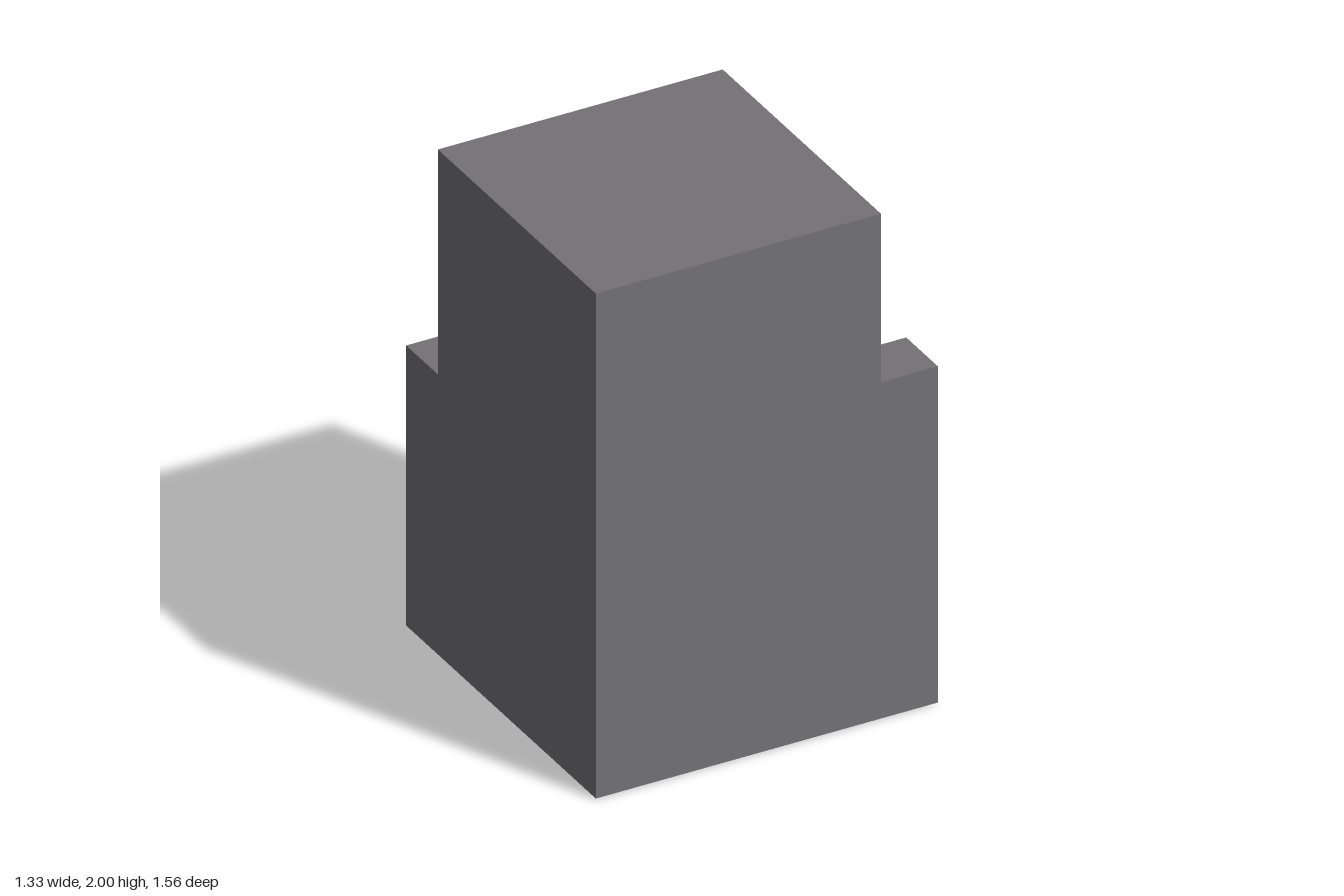
import * as THREE from 'three';

const U = 2 / 9;        // edge of one building block
const THIN = 0.004;     // thickness of doors and floor inlay

function shapeOf(points) {
  return new THREE.Shape(points.map(([a, b]) => new THREE.Vector2(a * U, b * U)));
}

function extrude(shape, depth) {
  return new THREE.ExtrudeGeometry(shape, { depth, bevelEnabled: false });
}

// Side profile in (-z, y), swept along +x from x0
function sweepX(points, x0, depth) {
  return extrude(shapeOf(points), depth).rotateY(Math.PI / 2).translate(x0 * U, 0, 0);
}

// Door outline with clipped top corners
function doorOutline(left, bottom) {
  const c = 0.05, r = left + 1, t = bottom + 2;
  return [[left, bottom], [r, bottom], [r, t - c], [r - c, t], [left + c, t], [left, t - c]];
}

export function createModel() {
  const model = new THREE.Group();
  const material = (name, color) => {
    const m = new THREE.MeshStandardMaterial({ color });
    m.name = name;
    return m;
  };
  const stone = material('stone', 0x747275);
  const wood = material('door wood', 0x6e5534);
  const planks = material('floor planks', 0x82604d);

  const add = (name, geometry, mat) => {
    const mesh = new THREE.Mesh(geometry, mat);
    mesh.name = name;
    model.add(mesh);
  };

  const base = THIN / U; // stone starts just above the floor inlay

  // Tower with the lower ledge at the back
  add('tower', sweepX([
    [-3.5, base], [2.5, base], [2.5, 5], [1.5, 5], [1.5, 9], [-3.5, 9],
  ], -3, 5 * U), stone);

  // Six steps climbing the left wall towards the front
  const steps = [[-3.5, base], [2.5, base]];
  for (let i = 0; i < 6; i++) steps.push([2.5 - i, i + 1], [1.5 - i, i + 1]);
  add('sideStairs', sweepX(steps, 2, U), stone);

  // Stoop with a raised middle at the back door
  const stoop = shapeOf([
    [-2, base], [1, base], [1, 1], [0, 1], [0, 2], [-1, 2], [-1, 1], [-2, 1],
  ]);
  add('backStoop', extrude(stoop, U).translate(0, 0, -3.5 * U), stone);

  // Doors
  add('sideDoor', sweepX(doorOutline(-2.5, 5), 2, THIN), wood);
  add('backDoor', extrude(shapeOf(doorOutline(-1, 2)), THIN)
    .translate(0, 0, -2.5 * U - THIN), wood);

  // Plank floor seen from below, with a doorway tongue and a central opening
  const floor = shapeOf([
    [-2, -1.5], [-1, -1.5], [-1, -2.5], [0, -2.5], [0, -1.5], [1, -1.5], [1, 2.5], [-2, 2.5],
  ]);
  floor.holes.push(shapeOf([[-1, -0.5], [-1, 0.5], [0, 0.5], [0, -0.5]]));
  add('floor', extrude(floor, THIN).rotateX(Math.PI / 2).translate(0, THIN, 0), planks);

  return model;
}
